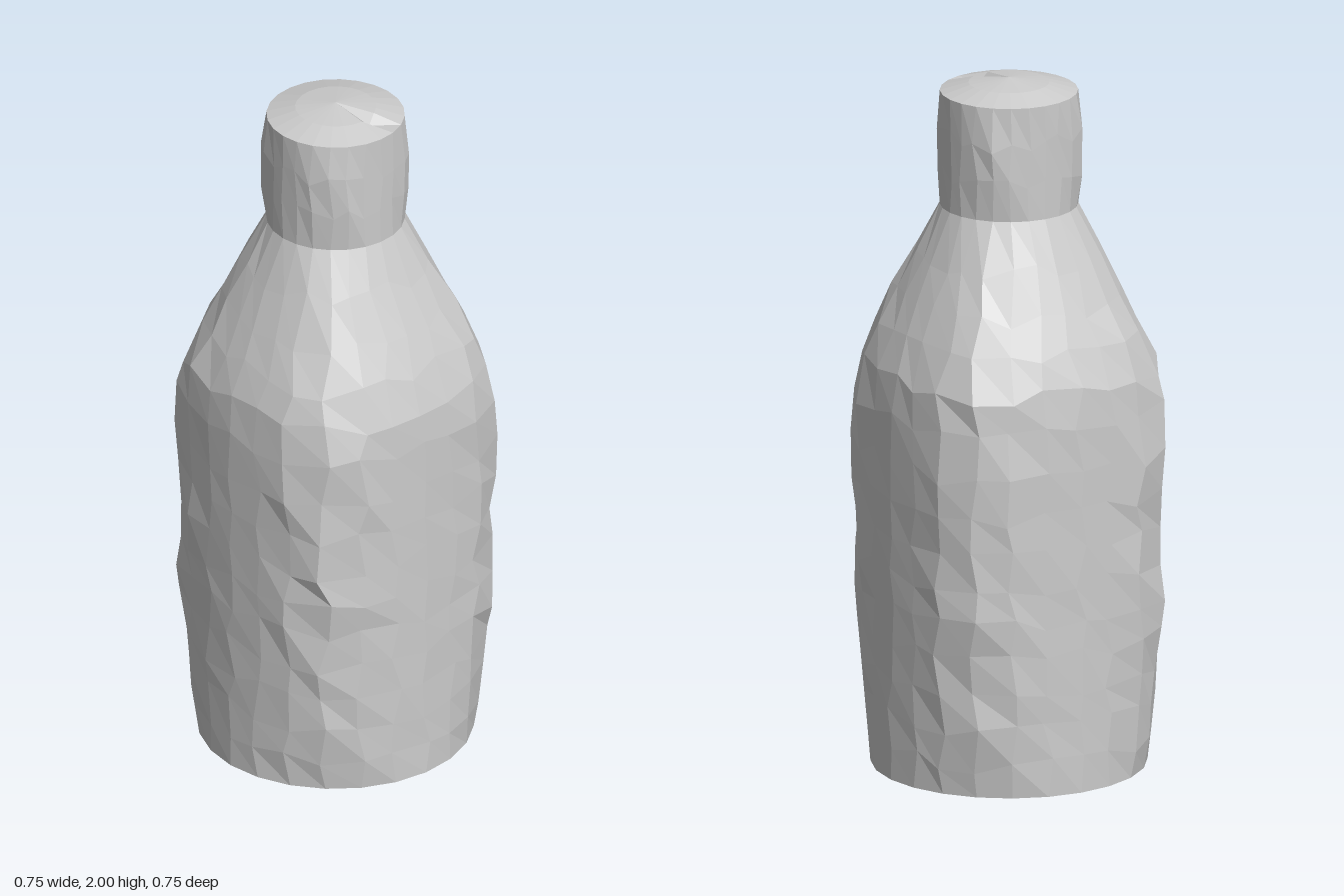
import * as THREE from 'three';

const SEGMENTS = 24;
const BASE_Y = 0.07, NECK_Y = 1.645, RIM_Y = 1.965;

// Repeatable noise in -1..1 for a vertex of a ring
function noise(ring, i, salt) {
  const s = Math.sin(ring * 127.1 + (i % SEGMENTS) * 311.7 + salt * 74.7) * 43758.5453;
  return (s - Math.floor(s)) * 2 - 1;
}

// Radius along the x and z axes, interpolated from the silhouette
const PROFILE = [[BASE_Y, 0.376], [1.1, 0.376], [1.2, 0.37], [1.27, 0.347], [1.4, 0.29],
  [1.55, 0.225], [NECK_Y, 0.188], [RIM_Y, 0.188]];
function radiusAt(y) {
  for (let k = 1; k < PROFILE.length; k++) {
    const [y0, r0] = PROFILE[k - 1], [y1, r1] = PROFILE[k];
    if (y <= y1) return r0 + (r1 - r0) * (y - y0) / (y1 - y0);
  }
  return 0.188;
}

function facetedMesh(name, geometry) {
  const flat = geometry.toNonIndexed();
  flat.computeVertexNormals();
  const mesh = new THREE.Mesh(flat, new THREE.MeshStandardMaterial({ color: 0xcccccc, flatShading: true }));
  mesh.name = name;
  return mesh;
}

// Round at both ends, swelling towards the four diagonals in between
function wall(name, heights, bulge, roughness) {
  const geometry = new THREE.LatheGeometry(heights.map(y => new THREE.Vector2(1, y)), SEGMENTS);
  const pos = geometry.attributes.position;
  const n = heights.length, low = heights[0], high = heights[n - 1];
  for (let v = 0; v < pos.count; v++) {
    const i = Math.floor(v / n), j = v % n;
    const inner = j > 0 && j < n - 1 ? 1 : 0;
    const salt = low * 10;
    const y = heights[j] + inner * 0.022 * noise(j, i, salt + 1);
    const angle = (i / SEGMENTS) * Math.PI * 2 + inner * 0.05 * noise(j, i, salt + 2);
    const t = (y - low) / (high - low);
    const corner = Math.abs(Math.sin(2 * angle)) ** 3;
    const swell = inner * Math.sin(Math.PI * t) ** 0.7 * corner;
    const r = radiusAt(y) + swell * (bulge + roughness * noise(j, i, salt + 3));
    pos.setXYZ(v, r * Math.sin(angle), y, r * Math.cos(angle));
  }
  return facetedMesh(name, geometry);
}

export function createModel() {
  const group = new THREE.Group();
  group.name = 'bottle';

  // Body and shoulders
  const bodyHeights = [BASE_Y, 0.16, 0.26, 0.36, 0.46, 0.56, 0.66, 0.76, 0.86, 0.97, 1.1, 1.2, 1.3, 1.4, 1.52, NECK_Y];
  group.add(wall('body', bodyHeights, 0.053, 0.013));

  // Neck
  group.add(wall('neck', [NECK_Y, 1.75, 1.86, RIM_Y], 0.014, 0.005));

  // Shallow domed top with a small dent at the front
  const top = new THREE.LatheGeometry([
    new THREE.Vector2(0.188, RIM_Y), new THREE.Vector2(0.11, 1.987), new THREE.Vector2(0, 2),
  ], SEGMENTS);
  const p = top.attributes.position;
  for (let v = 0; v < p.count; v++) {
    const distance = Math.hypot(p.getX(v) - 0.03, p.getZ(v) - 0.11);
    if (v % 3 === 1 && distance < 0.02) p.setY(v, p.getY(v) - 0.025);
  }
  group.add(facetedMesh('top', top));

  // Underside, a shallow cone down to the ground
  group.add(facetedMesh('underside', new THREE.LatheGeometry([
    new THREE.Vector2(0, 0), new THREE.Vector2(0.1, 0.012), new THREE.Vector2(0.376, BASE_Y),
  ], SEGMENTS)));

  return group;
}
